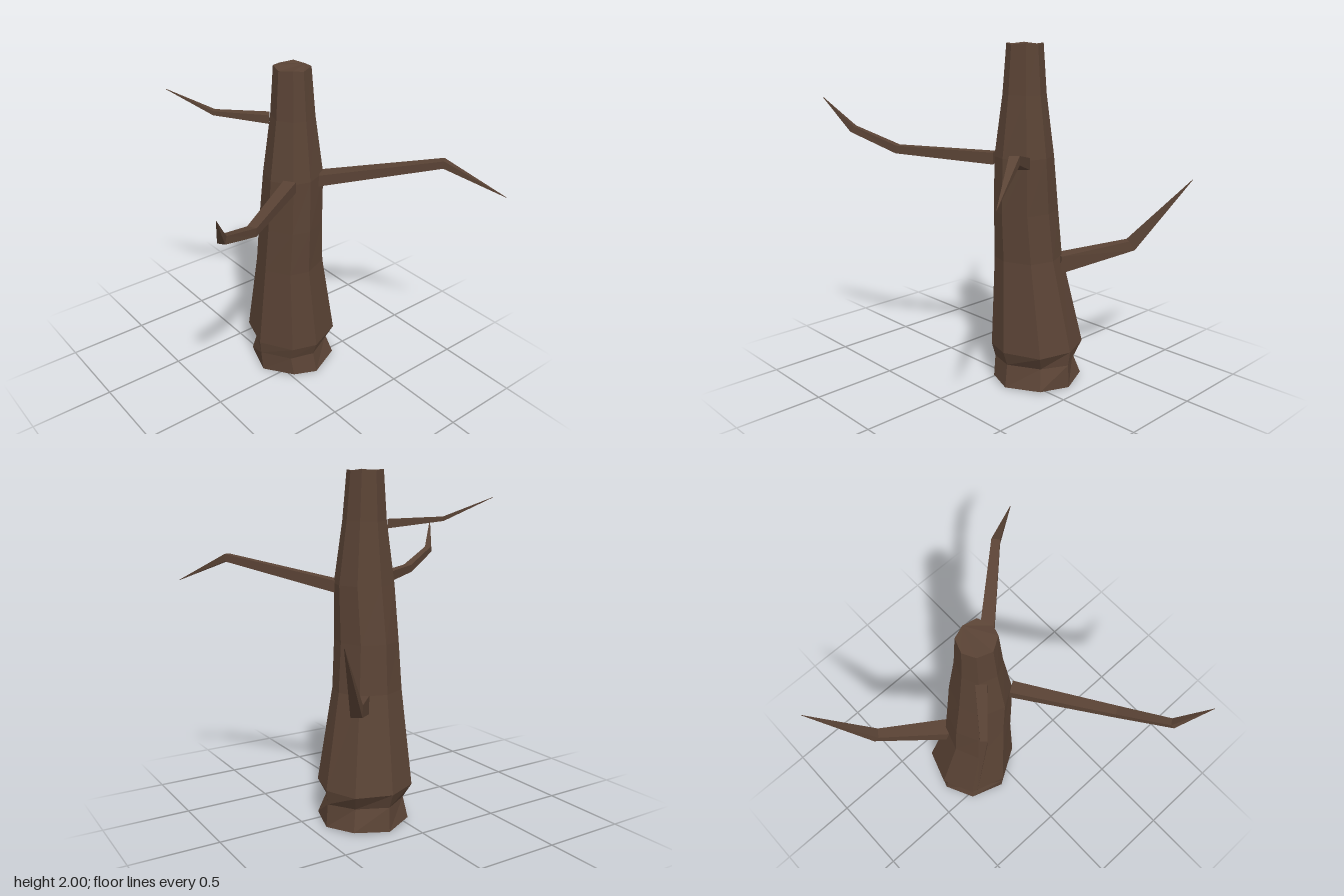
import * as THREE from 'three';

const V = (x, y, z) => new THREE.Vector3(x, y, z);

// Skins a list of equal-length rings (counter-clockwise about the direction of travel) and caps both ends.
function loft(rings) {
  const pos = [];
  const tri = (...pts) => pts.forEach((p) => pos.push(p.x, p.y, p.z));
  const n = rings[0].length;
  for (let r = 0; r < rings.length - 1; r++) {
    const a = rings[r], b = rings[r + 1];
    for (let i = 0; i < n; i++) {
      const j = (i + 1) % n;
      tri(a[i], a[j], b[j]);
      tri(a[i], b[j], b[i]);
    }
  }
  const first = rings[0], last = rings[rings.length - 1];
  for (let i = 1; i < n - 1; i++) {
    tri(first[0], first[i + 1], first[i]);
    tri(last[0], last[i], last[i + 1]);
  }
  const geometry = new THREE.BufferGeometry();
  geometry.setAttribute('position', new THREE.Float32BufferAttribute(pos, 3));
  geometry.computeVertexNormals();
  return geometry;
}

// Uneven octagon, in units of the half width and half depth of each trunk ring.
const OUTLINE = [
  [1, -0.05], [0.72, -0.75], [-0.04, -1], [-0.74, -0.68],
  [-1, 0.12], [-0.57, 0.82], [0, 1], [0.8, 0.68],
];

// Trunk rings: height, min x, max x, min z, max z.
const TRUNK = [
  [0.01, -0.1, 0.415, -0.39, 0.135],
  [0.14, -0.11, 0.405, -0.37, 0.11],
  [0.225, -0.12, 0.415, -0.405, 0.14],
  [0.77, -0.09, 0.305, -0.29, 0.1],
  [1.05, -0.075, 0.28, -0.27, 0.11],
  [1.37, -0.068, 0.275, -0.225, 0.105],
  [1.72, -0.02, 0.225, -0.185, 0.06],
  [1.995, 0, 0.2, -0.17, 0.037],
];

function trunkGeometry() {
  const rings = TRUNK.map(([y, x0, x1, z0, z1], r) => OUTLINE.map(([ox, oz], i) => {
    // The root flare pinches in at a few corners, and the foot is slightly uneven.
    const pinch = r === 1 && (i === 7 || i === 3 || i === 1) ? 0.88 : 1;
    const wobble = r === 0 ? (i % 2 ? 0.01 : -0.005) : r === 7 ? (i % 2 ? 0.005 : -0.003) : 0;
    return V(
      (x0 + x1) / 2 + ox * pinch * (x1 - x0) / 2,
      y + wobble,
      (z0 + z1) / 2 + oz * pinch * (z1 - z0) / 2,
    );
  }));
  return loft(rings);
}

// Square-sectioned limb along points [x, y, z, half width, half height].
function branchGeometry(points) {
  const centres = points.map(([x, y, z]) => V(x, y, z));
  const rings = points.map(([, , , w, h], k) => {
    const before = centres[Math.max(k - 1, 0)];
    const after = centres[Math.min(k + 1, centres.length - 1)];
    const along = after.clone().sub(before).normalize();
    if (k === 0) along.setY(0).normalize();
    const side = V(0, 1, 0).cross(along).normalize();
    const up = along.clone().cross(side);
    return [[1, 1], [-1, 1], [-1, -1], [1, -1]].map(([s, u]) =>
      centres[k].clone().addScaledVector(side, s * w).addScaledVector(up, u * h));
  });
  return loft(rings);
}

const BRANCHES = {
  frontRightBranch: [
    [-0.01, 1.357, 0.06, 0.036, 0.034], [-0.5, 1.385, 0.38, 0.026, 0.023],
    [-0.76, 1.49, 0.51, 0.02, 0.02], [-0.867, 1.68, 0.64, 0.001, 0.001],
  ],
  frontLeftBranch: [
    [0.21, 1.35, 0.06, 0.045, 0.034], [0.67, 1.497, 0.57, 0.025, 0.022],
    [0.865, 1.345, 0.868, 0.001, 0.001],
  ],
  backLeftBranch: [
    [0.24, 0.72, -0.23, 0.05, 0.052], [0.485, 0.81, -0.595, 0.03, 0.033],
    [0.715, 1.205, -0.87, 0.001, 0.001],
  ],
  backRightBranch: [
    [0, 1.705, -0.14, 0.03, 0.025], [-0.235, 1.733, -0.335, 0.018, 0.012],
    [-0.415, 1.85, -0.535, 0.001, 0.001],
  ],
};

export function createModel() {
  const bark = new THREE.MeshStandardMaterial({ color: 0x5a4335, flatShading: true });
  bark.name = 'brown bark';

  const tree = new THREE.Group();
  tree.name = 'bareTree';
  const add = (name, geometry) => {
    const mesh = new THREE.Mesh(geometry, bark);
    mesh.name = name;
    tree.add(mesh);
  };

  add('trunk', trunkGeometry());
  for (const [name, points] of Object.entries(BRANCHES)) add(name, branchGeometry(points));
  return tree;
}
